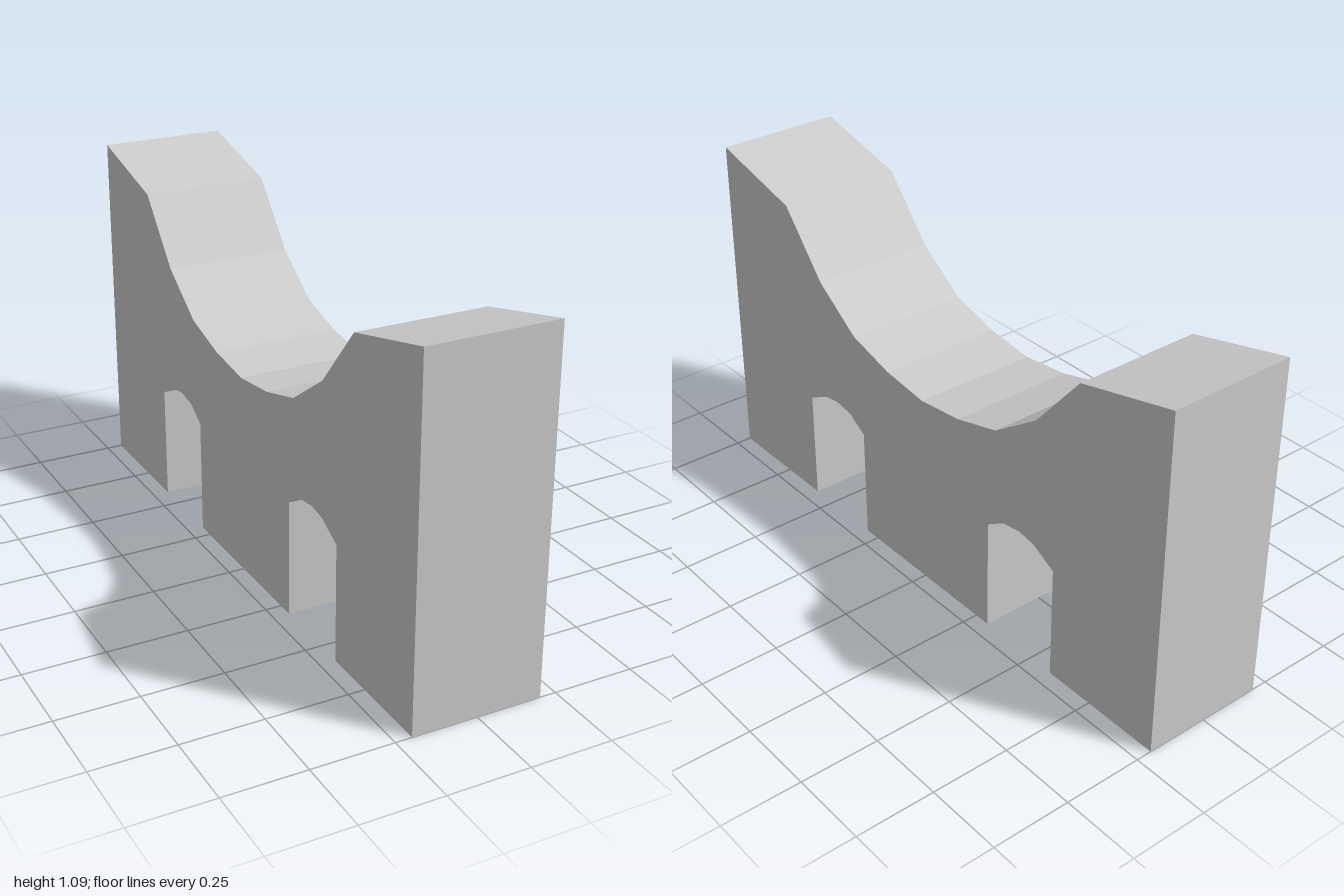
import * as THREE from 'three';

// Half of the top edge, from the middle to the end: [distance along z, height]
const TOP = [[0, 0.635], [0.167, 0.655], [0.333, 0.70], [0.5, 0.815], [0.667, 1.01], [1, 1.09]];

// Half of the underside, from the end to the middle, with one arched opening
const BASE = [[1, 0], [0.585, 0], [0.585, 0.365], [0.502, 0.408], [0.442, 0.418],
  [0.37, 0.407], [0.303, 0.365], [0.303, 0]];

const WIDTH = 0.4;

export function createModel() {
  const model = new THREE.Group();
  model.name = 'archedSaddleBlock';

  // Mirror the half outline to get the full side profile
  const half = [...TOP, ...BASE];
  const mirrored = half.slice(1).reverse().map(([z, y]) => [-z, y]);
  const outline = [...half, ...mirrored].map(([z, y]) => new THREE.Vector2(z, y));

  // Extrude the profile across the width, lengthwise along z
  const geometry = new THREE.ExtrudeGeometry(new THREE.Shape(outline), { depth: WIDTH, bevelEnabled: false });
  geometry.translate(0, 0, -WIDTH / 2);
  geometry.rotateY(Math.PI / 2);

  const body = new THREE.Mesh(geometry, new THREE.MeshStandardMaterial({ color: 0xcccccc, flatShading: true }));
  body.name = 'archedBody';
  model.add(body);
  return model;
}
